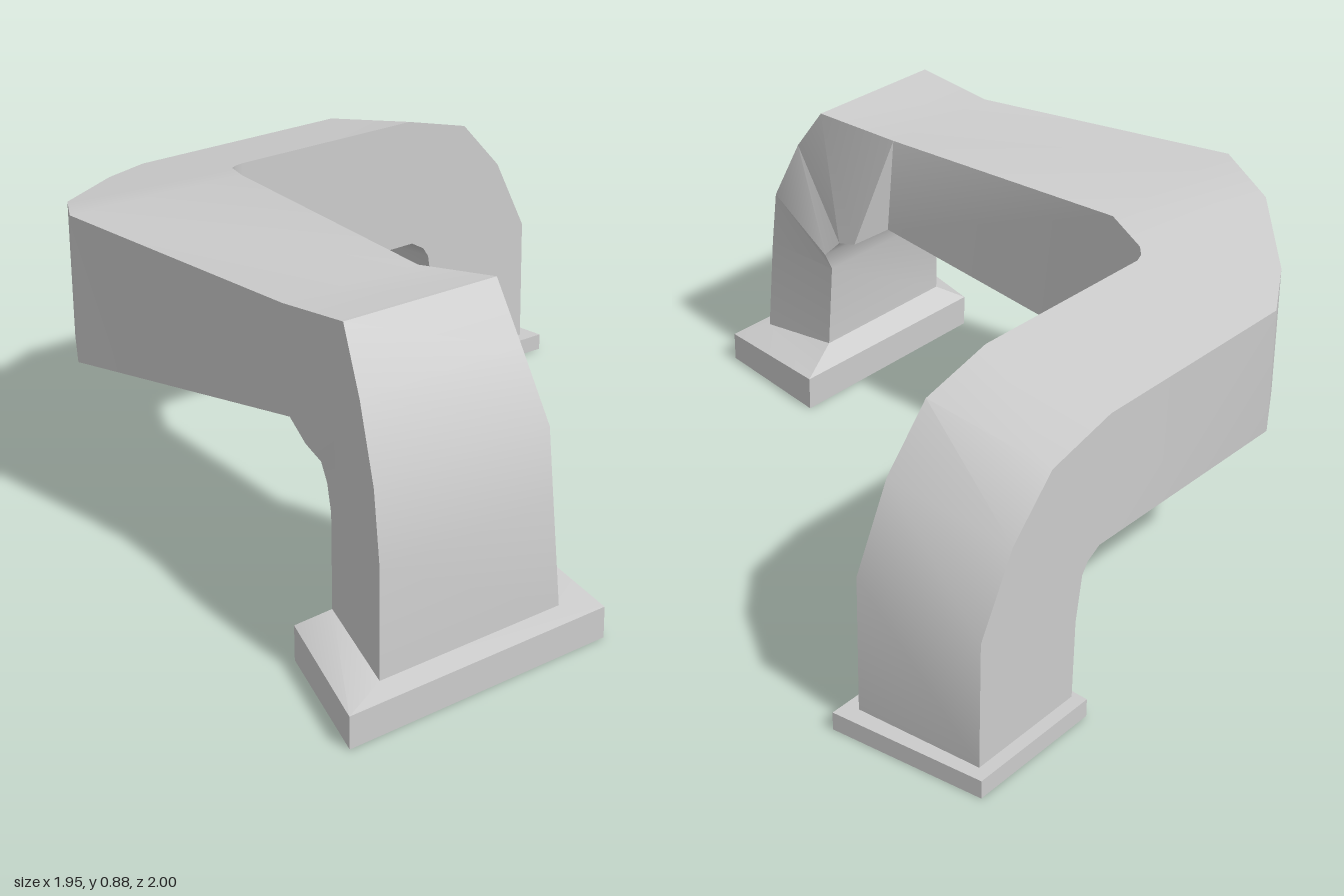
import * as THREE from 'three';
import { toCreasedNormals } from 'three/addons/utils/BufferGeometryUtils.js';

const material = new THREE.MeshStandardMaterial({ color: 0xcccccc, side: THREE.DoubleSide });

// Skin a list of four-cornered sections into an open rectangular tube.
function loft(name, sections) {
  const index = [];
  for (let s = 0; s < sections.length - 1; s++) {
    for (let k = 0; k < 4; k++) {
      const a = s * 4 + k, b = s * 4 + (k + 1) % 4;
      index.push(a, a + 4, b + 4, a, b + 4, b);
    }
  }
  const geometry = new THREE.BufferGeometry();
  geometry.setAttribute('position', new THREE.Float32BufferAttribute(sections.flat(2), 3));
  geometry.setIndex(index);
  const mesh = new THREE.Mesh(toCreasedNormals(geometry, 0.56), material);
  mesh.name = name;
  return mesh;
}

// Sections run [outer top, inner top, inner bottom, outer bottom].
// Back leg: [z, y] on the outside of the elbow, then on the inside.
function backLeg() {
  return [
    [-0.95, 0.05, -0.58, 0.05],
    [-0.95, 0.43, -0.575, 0.28],
    [-0.84, 0.65, -0.555, 0.41],
    [-0.70, 0.80, -0.535, 0.44],
    [-0.48, 0.853, -0.49, 0.465],
  ].map(([zo, yo, zi, yi], i) => {
    const t = i ? 0.925 : 1, b = i ? 0.95 : 1;
    return [[-0.94, yo * t, zo + 0.015], [-0.58, yo, zo], [-0.58, yi, zi], [-0.94, yi * b, zi]];
  });
}

// Flat corner: [x, z] on the outside of the turn, then on the inside; height rises with x.
function corner() {
  const top = x => 0.78 + 0.18 * (x + 0.94);
  const bottom = x => 0.43 + 0.066 * (x + 0.94);
  return [
    [-0.94, 0.24, -0.58, 0.14],
    [-0.84, 0.42, -0.57, 0.17],
    [-0.61, 0.70, -0.545, 0.20],
    [-0.41, 0.815, -0.41, 0.265],
  ].map(([xo, zo, xi, zi]) => [
    [xo, top(xo), zo], [xi, top(xi), zi], [xi, bottom(xi), zi], [xo, bottom(xo), zo],
  ]);
}

// Front leg: [x, y, front z, back z] on the outside of the elbow, then on the inside.
function frontLeg() {
  return [
    [0.41, 0.85, 0.745, 0.325, 0.43, 0.565, 0.745, 0.32],
    [0.66, 0.88, 0.76, 0.29, 0.50, 0.52, 0.752, 0.25],
    [0.78, 0.74, 0.81, 0.315, 0.57, 0.50, 0.76, 0.26],
    [0.865, 0.56, 0.84, 0.30, 0.605, 0.46, 0.77, 0.235],
    [0.905, 0.38, 0.857, 0.32, 0.625, 0.39, 0.775, 0.285],
    [0.912, 0.10, 0.865, 0.30, 0.63, 0.14, 0.78, 0.27],
  ].map(([xo, yo, fo, bo, xi, yi, fi, bi]) => [
    [xo, yo, fo], [xo, yo, bo], [xi, yi, bi], [xi, yi, fi],
  ]);
}

// Hollow flange: outer wall and a top ring meeting the duct, open below.
function flange(name, rim, ring) {
  const base = rim.map(([x, , z]) => [x, 0, z]);
  // Wall and ring are separate so the rim stays sharp.
  const group = new THREE.Group();
  group.name = name;
  group.add(loft(name + 'Wall', [base, rim]), loft(name + 'Top', [rim, ring]));
  return group;
}

export function createModel() {
  const model = new THREE.Group();
  model.name = 'duct';
  model.add(
    loft('ductBody', [...backLeg(), ...corner(), ...frontLeg()]),
    flange('backFlange',
      [[-0.975, 0.05, -0.97], [-0.54, 0.05, -1], [-0.54, 0.05, -0.535], [-0.975, 0.05, -0.565]],
      [[-0.94, 0.05, -0.935], [-0.58, 0.05, -0.95], [-0.58, 0.05, -0.58], [-0.94, 0.05, -0.58]]),
    flange('frontFlange',
      [[0.57, 0.1, 0.115], [0.97, 0.085, 0.2], [0.97, 0.085, 1], [0.57, 0.095, 0.85]],
      [[0.63, 0.14, 0.27], [0.912, 0.1, 0.3], [0.912, 0.1, 0.865], [0.63, 0.14, 0.78]]),
  );
  return model;
}
